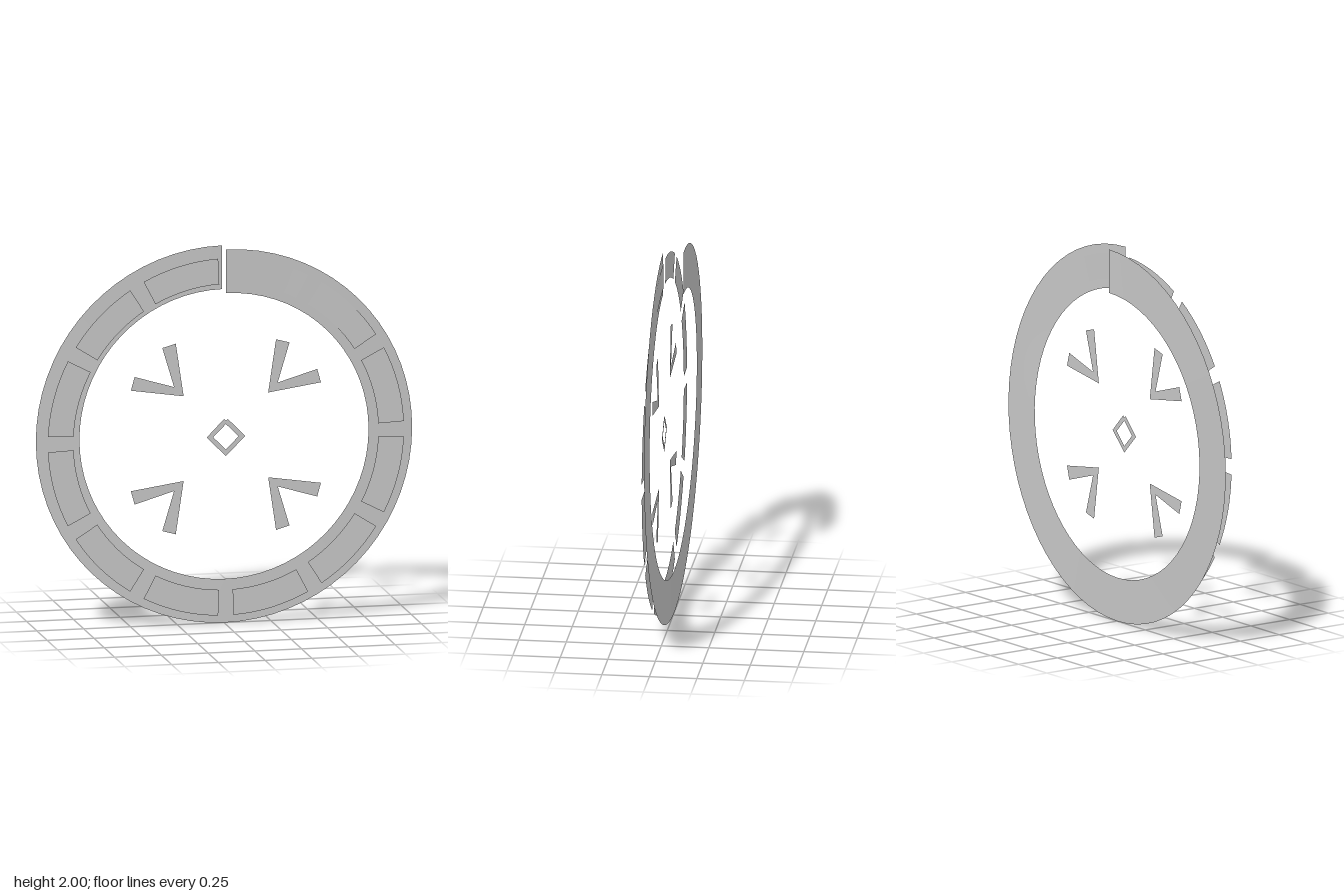
import * as THREE from 'three';

const RISE = 0.053;     // half of the ring's helical rise
const PLATE_Z = 0.0465; // depth of all flat parts

export function createModel() {
  const model = new THREE.Group();
  const grey = new THREE.MeshStandardMaterial({ color: 0xc7c7c7, side: THREE.DoubleSide });
  grey.name = 'lightGrey';

  const add = (name, geometry, z = PLATE_Z) => {
    const mesh = new THREE.Mesh(geometry, grey);
    mesh.name = name;
    mesh.position.set(0, 1, z);
    model.add(mesh);
  };
  const flat = (points) => new THREE.Shape(points.map(([x, y]) => new THREE.Vector2(x, y)));

  // Split ring: one shallow helical turn starting and ending at the top
  const segments = 72;
  const ring = new THREE.RingGeometry(0.767, 1, segments, 1, Math.PI / 2, Math.PI * 2);
  const pos = ring.attributes.position;
  for (let i = 0; i < pos.count; i++) {
    pos.setZ(i, RISE * (2 * (i % (segments + 1)) / segments - 1));
  }
  ring.computeVertexNormals();
  add('helicalRing', ring, 0);

  // Twelve curved plates, all in one plane
  const deg = Math.PI / 180;
  for (let i = 0; i < 12; i++) {
    add('curvedPlate' + (i + 1),
      new THREE.RingGeometry(0.815, 0.952, 8, 1, (i * 30 + 2.5) * deg, 25 * deg));
  }

  // Four chevrons pointing at the centre
  const chevron = [[0.226, 0.226], [0.508, 0.268], [0.488, 0.34],
    [0.277, 0.277], [0.34, 0.488], [0.268, 0.508]];
  for (const sx of [1, -1]) {
    for (const sy of [1, -1]) {
      const points = chevron.map(([x, y]) => [x * sx, y * sy]);
      add(`chevron${sy > 0 ? 'Upper' : 'Lower'}${sx > 0 ? 'Left' : 'Right'}`,
        new THREE.ShapeGeometry(flat(points)));
    }
  }

  // Small open diamond with a notch at its top corner
  const diamond = flat([[0, 0.085], [-0.01, 0.095], [-0.103, 0], [0, -0.103],
    [0.103, 0], [0.01, 0.095]]);
  diamond.holes.push(flat([[0, 0.068], [0.068, 0], [0, -0.068], [-0.068, 0]]));
  add('centreDiamond', new THREE.ShapeGeometry(diamond));

  return model;
}
